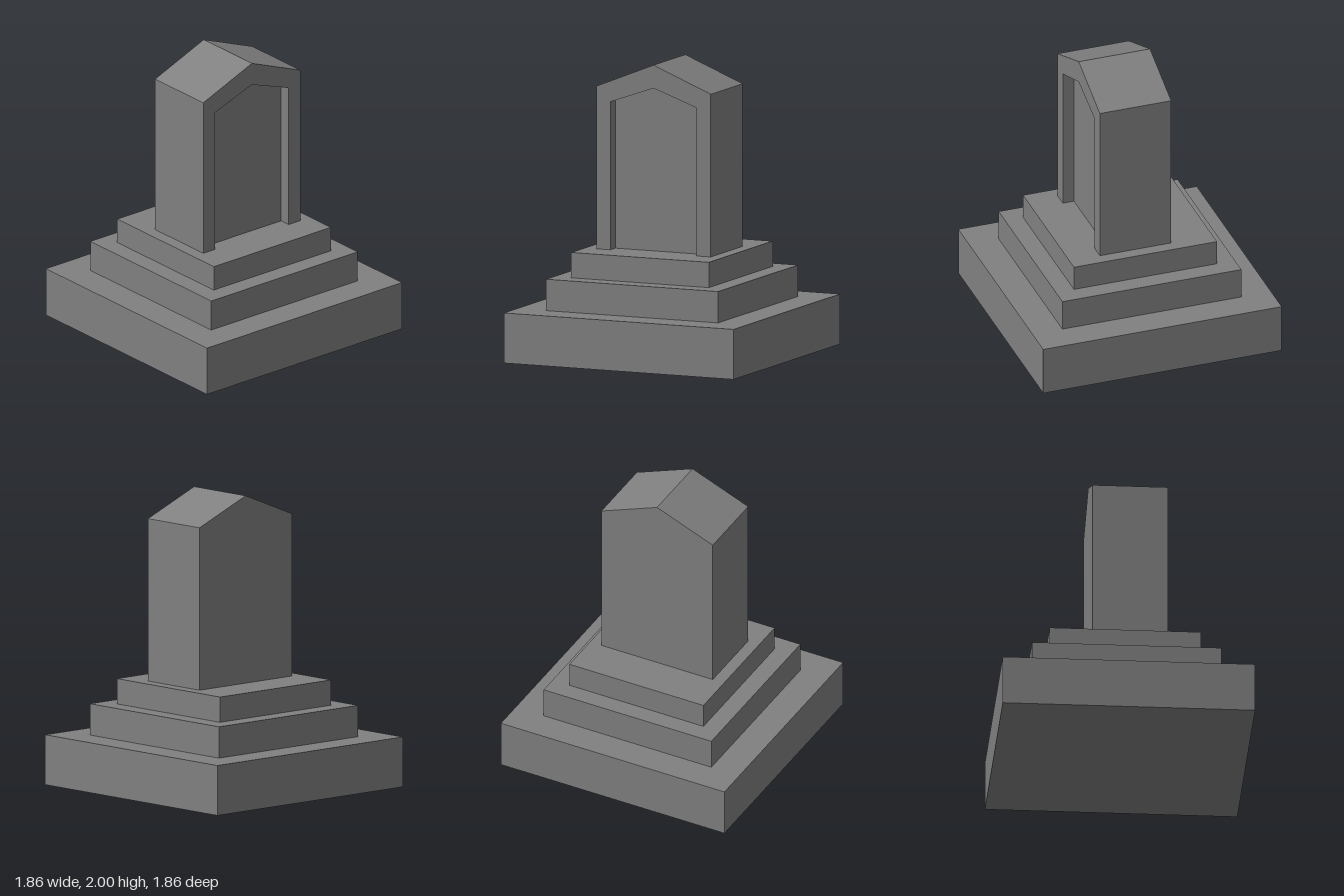
import * as THREE from 'three';

export function createModel() {
  const stone = new THREE.MeshStandardMaterial({ color: 0x808080 });
  stone.name = 'grey stone';
  const model = new THREE.Group();
  model.name = 'steppedMonument';

  const add = (name, geometry, y, z) => {
    const mesh = new THREE.Mesh(geometry, stone);
    mesh.name = name;
    mesh.position.set(0, y, z);
    model.add(mesh);
  };

  // Stepped square plinth: half width, bottom, top
  [
    ['lowerStep', 0.849, 0, 0.34],
    ['middleStep', 0.637, 0.34, 0.553],
    ['upperStep', 0.509, 0.553, 0.725],
  ].forEach(([name, half, bottom, top]) =>
    add(name, new THREE.BoxGeometry(half * 2, top - bottom, half * 2), (bottom + top) / 2, 0));

  // Gabled outline standing on the plinth, heights measured from its top
  const base = 0.725, front = 0.294, back = -0.214, recess = 0.08;
  const gable = (half, eave, ridge) => [
    [-half, 0], [half, 0], [half, eave], [0, ridge], [-half, eave],
  ].map(([x, y]) => new THREE.Vector2(x, y));
  const outer = gable(0.423, 1.83 - base, 2 - base);
  const inner = gable(0.319, 1.73 - base, 1.843 - base);
  const extrude = (points, depth) => new THREE.ExtrudeGeometry(
    new THREE.Shape(points), { depth, bevelEnabled: false });

  // Solid body behind the niche
  add('gabledBody', extrude(outer, front - recess - back), base, back);

  // Raised surround, open at the bottom, that forms the niche
  const [il, ir, ie, ia, iw] = inner;
  const [ol, or, oe, oa, ow] = outer;
  add('nicheFrame', extrude([ol, il, iw, ia, ie, ir, or, oe, oa, ow], recess), base, front - recess);

  // The whole monument is turned slightly on its spot
  model.rotation.y = -0.0991;
  const root = new THREE.Group();
  root.name = 'monument';
  root.add(model);
  return root;
}
